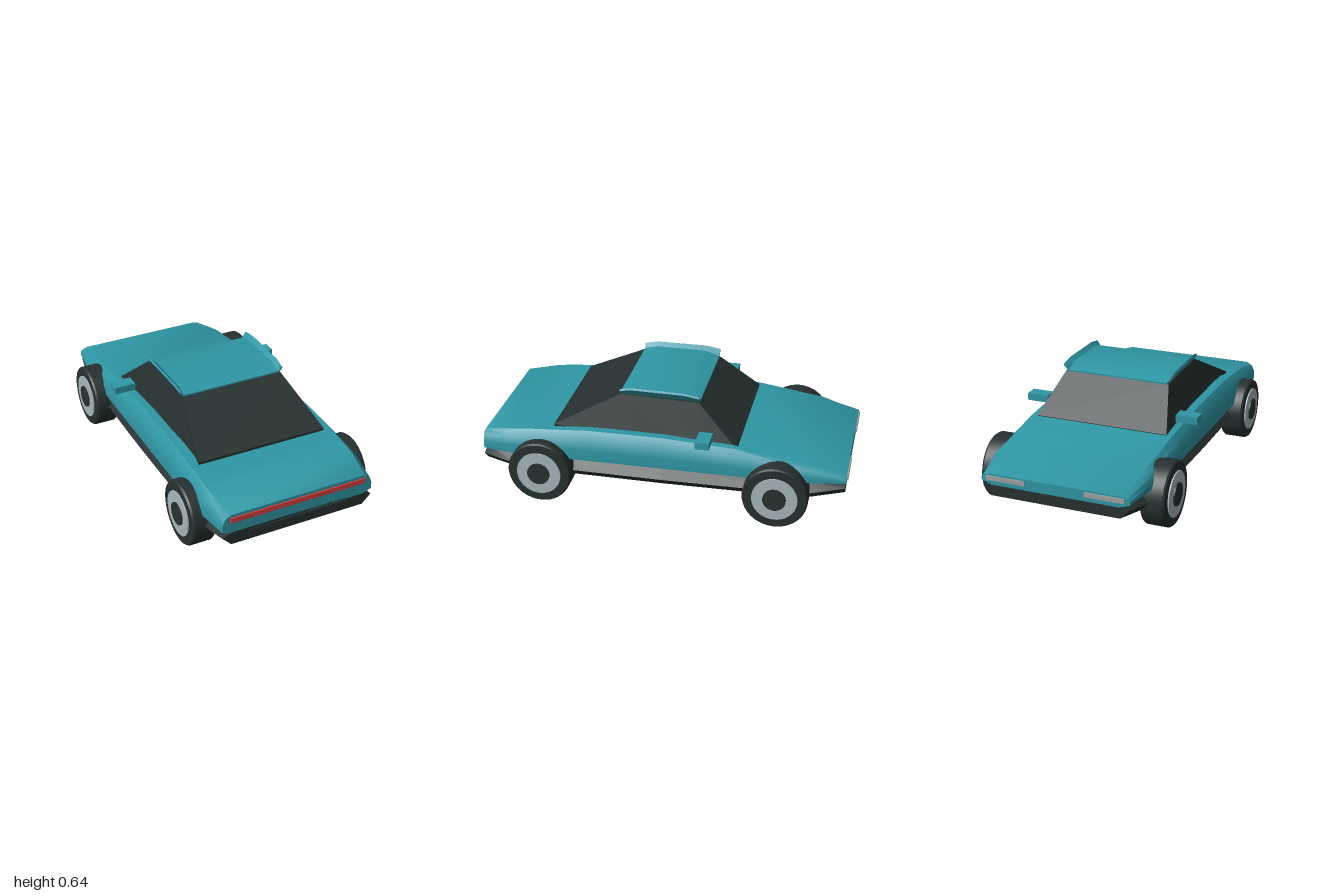
import * as THREE from 'three';
import { toCreasedNormals } from 'three/addons/utils/BufferGeometryUtils.js';

const material = (name, color) => {
  const m = new THREE.MeshStandardMaterial({ color });
  m.name = name;
  return m;
};

// Closed solid through counter-clockwise rings [x, y], ordered by rising z
function loft(sections, crease = 0.6) {
  const pos = [];
  const n = sections[0].ring.length;
  const put = (s, j) => pos.push(s.ring[j % n][0], s.ring[j % n][1], s.z);
  for (let i = 0; i < sections.length - 1; i++) {
    const a = sections[i], b = sections[i + 1];
    for (let j = 0; j < n; j++) {
      put(a, j); put(a, j + 1); put(b, j + 1);
      put(a, j); put(b, j + 1); put(b, j);
    }
  }
  const cap = (s, flip) => {
    const pts = s.ring.map(([x, y]) => new THREE.Vector2(x, y));
    for (const f of THREE.ShapeUtils.triangulateShape(pts, [])) {
      (flip ? [f[2], f[1], f[0]] : f).forEach((j) => put(s, j));
    }
  };
  cap(sections[0], true);
  cap(sections[sections.length - 1], false);
  const g = new THREE.BufferGeometry();
  g.setAttribute('position', new THREE.Float32BufferAttribute(pos, 3));
  return toCreasedNormals(g, crease);
}

// Right half of a ring (bottom to top) mirrored into a full ring
const mirrored = (half) => [...half, ...half.map(([x, y]) => [-x, y]).reverse()];

export function createModel() {
  const car = new THREE.Group();
  car.name = 'car';
  const teal = material('teal paint', 0x2f96a4);
  const dark = material('dark trim and glass', 0x263030);
  const silver = material('silver rim', 0xa8b8bc);
  const red = material('red lamp', 0xd23e3e);
  const lamp = material('grey lamp', 0x9a9f9f);

  const add = (name, geometry, mat, x = 0, y = 0, z = 0, parent = car) => {
    const m = new THREE.Mesh(geometry, mat);
    m.name = name;
    m.position.set(x, y, z);
    parent.add(m);
    return m;
  };

  // Painted upper body: [z, half width, top]
  const upper = [
    [-0.99, 0.405, 0.29], [-0.78, 0.44, 0.34], [-0.4, 0.45, 0.39], [0, 0.452, 0.41],
    [0.4, 0.455, 0.41], [0.72, 0.457, 0.388], [0.82, 0.455, 0.375], [0.99, 0.43, 0.345],
  ].map(([z, w, t]) => ({
    z,
    ring: mirrored([
      [w - 0.055, 0.23], [w, 0.25], [w, 0.25 + (t - 0.25) * 0.4],
      [w - 0.013, 0.25 + (t - 0.25) * 0.75], [w - 0.045, t],
    ]),
  }));
  add('upperBody', loft(upper, 0.7), teal);

  // Dark lower body: [z, half width, bottom]
  const lower = [
    [-0.985, 0.4, 0.168], [-0.77, 0.44, 0.13], [0, 0.45, 0.128],
    [0.8, 0.45, 0.13], [0.99, 0.43, 0.165],
  ].map(([z, w, b]) => ({
    z,
    ring: mirrored([[w - 0.05, b], [w, b + 0.05], [w - 0.055, 0.238]]),
  }));
  add('lowerBody', loft(lower), dark);

  // Cabin glass: [z, base half width, top half width, top]
  const cabin = [
    [-0.41, 0.375, 0.374, 0.392], [-0.185, 0.38, 0.3, 0.585],
    [0.245, 0.38, 0.295, 0.592], [0.6, 0.37, 0.369, 0.41],
  ].map(([z, b, w, t]) => ({ z, ring: mirrored([[b, 0.36], [w, t]]) }));
  add('cabinGlass', loft(cabin, 0.2), dark);

  // Roof panel with upturned side lips: [z, floor, lip half width, lip top]
  const roof = [
    [-0.187, 0.592, 0.317, 0.625], [-0.1, 0.618, 0.317, 0.638],
    [0.18, 0.618, 0.313, 0.638], [0.248, 0.598, 0.308, 0.625],
  ].map(([z, f, w, t]) => ({
    z,
    ring: mirrored([[0.285, 0.583], [w, t - 0.01], [w - 0.006, t], [0.285, f]]),
  }));
  add('roof', loft(roof, 0.3), teal);

  // Wheels: bevelled tyre, rim disc and hub cap, turned about x
  const tyreProfile = [[0, -0.065], [0.168, -0.065], [0.175, -0.055], [0.175, 0.055], [0.168, 0.065], [0, 0.065]]
    .map(([r, y]) => new THREE.Vector2(r, y));
  const tyre = toCreasedNormals(new THREE.LatheGeometry(tyreProfile, 40), 0.6);
  const rim = new THREE.CylinderGeometry(0.122, 0.122, 0.02, 40);
  const hub = new THREE.CylinderGeometry(0.062, 0.062, 0.02, 32);
  for (const [end, z] of [['rear', 0.655], ['front', -0.63]]) {
    for (const [side, s] of [['Left', 1], ['Right', -1]]) {
      const wheel = new THREE.Group();
      wheel.name = `${end}${side}Wheel`;
      wheel.position.set(0.446 * s, 0.175, z);
      wheel.rotation.z = -s * Math.PI / 2;
      add('tyre', tyre, dark, 0, 0, 0, wheel);
      add('rim', rim, silver, 0, 0.062, 0, wheel);
      add('hub', hub, dark, 0, 0.07, 0, wheel);
      car.add(wheel);
    }
  }

  // Mirrors and nose lamps
  for (const [side, s] of [['left', 1], ['right', -1]]) {
    add(`${side}Mirror`, new THREE.BoxGeometry(0.12, 0.04, 0.075), teal, 0.435 * s, 0.435, -0.238);
    add(`${side}NoseLamp`, new THREE.BoxGeometry(0.215, 0.025, 0.009), lamp, 0.27 * s, 0.268, -0.9935);
  }

  // Tail light bar and plate recess
  add('tailLight', new THREE.BoxGeometry(0.775, 0.028, 0.009), red, 0, 0.314, 0.9935);
  add('rearPlate', new THREE.BoxGeometry(0.56, 0.046, 0.009), dark, 0, 0.203, 0.9935);
  return car;
}
